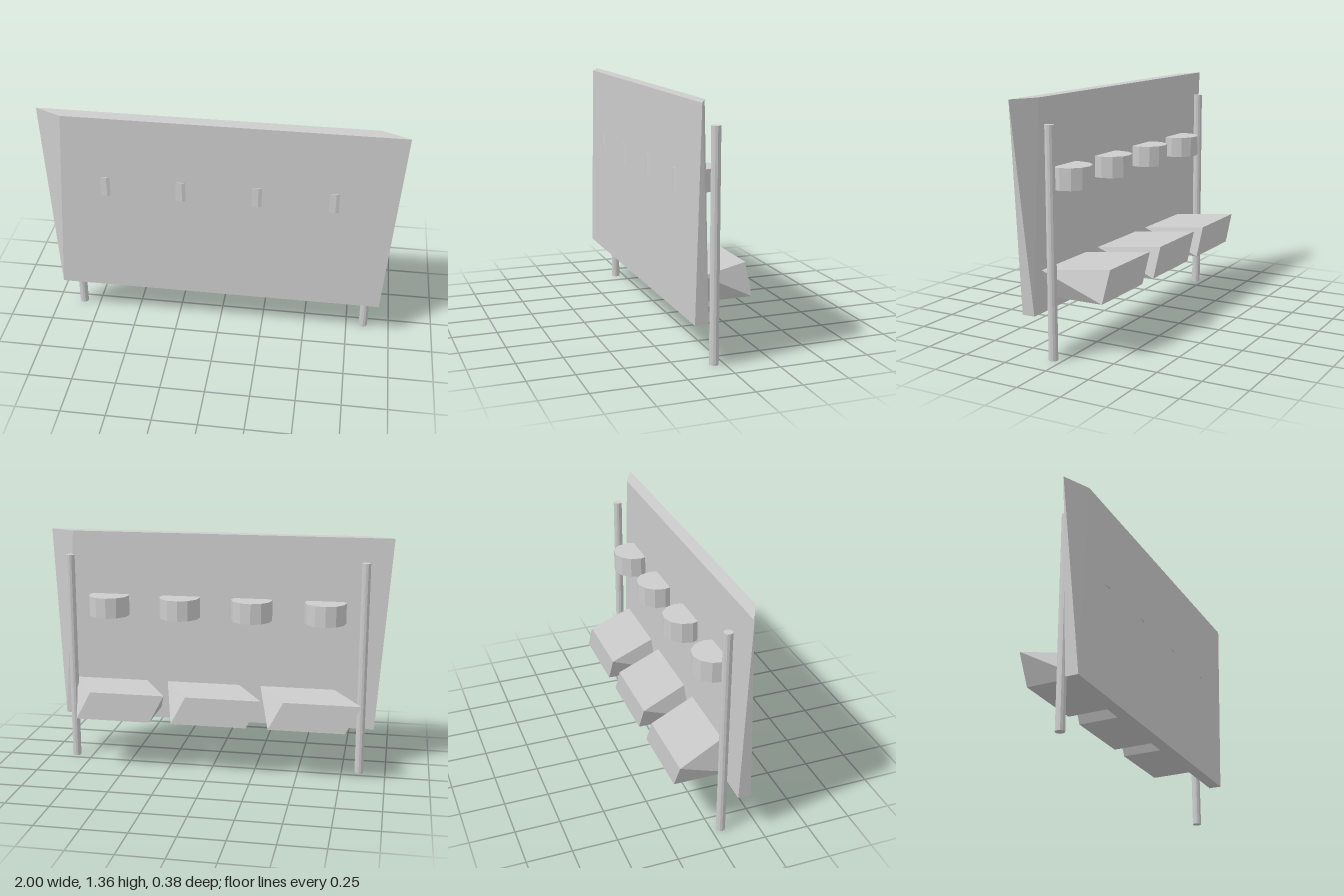
import * as THREE from 'three';

const grey = new THREE.MeshStandardMaterial({ color: 0xcccccc, flatShading: true });

// Block whose top is sheared: back edge shifts to -x, front edge to +x
function twistedBlock(width, y0, y1, zBack, zFront, shear) {
  const w = width / 2;
  const corners = [
    [-w, y0, zBack], [w, y0, zBack], [w, y0, zFront], [-w, y0, zFront],
    [-w - shear, y1, zBack], [w - shear, y1, zBack],
    [w + shear, y1, zFront], [-w + shear, y1, zFront],
  ];
  const faces = [
    4, 7, 6, 4, 6, 5, // top
    0, 1, 2, 0, 2, 3, // bottom
    3, 2, 6, 3, 6, 7, // front
    1, 0, 4, 1, 4, 5, // back
    2, 1, 6, 1, 5, 6, // left side, folded along its diagonal
    0, 3, 4, 3, 7, 4, // right side, folded along its diagonal
  ];
  const g = new THREE.BufferGeometry();
  g.setAttribute('position', new THREE.Float32BufferAttribute(faces.flatMap(i => corners[i]), 3));
  g.computeVertexNormals();
  return g;
}

export function createModel() {
  const group = new THREE.Group();
  const add = (name, geometry, x, y, z) => {
    const mesh = new THREE.Mesh(geometry, grey);
    mesh.name = name;
    mesh.position.set(x, y, z);
    group.add(mesh);
  };

  // Upright board
  add('panel', twistedBlock(1.85, 0.245, 1.355, 0.114, 0.186, 0.075), 0, 0, 0);

  // Two support posts behind the board
  const post = new THREE.CylinderGeometry(0.025, 0.025, 1.225, 12);
  for (const x of [-0.85, 0.85]) add('post', post, x, 0.6125, 0.052);

  // Row of round blocks set through the board
  const drum = new THREE.CylinderGeometry(0.118, 0.118, 0.118, 12, 1, false, 0.08);
  for (let i = 0; i < 4; i++) add('roundBlock', drum, -0.63 + i * 0.42, 0.931, 0.075);

  // Row of twisted trays low on the back
  const tray = twistedBlock(0.43, 0.31, 0.472, -0.191, 0.115, 0.085);
  for (let i = 0; i < 3; i++) add('tray', tray, -0.56 + i * 0.555, 0, 0);

  return group;
}
